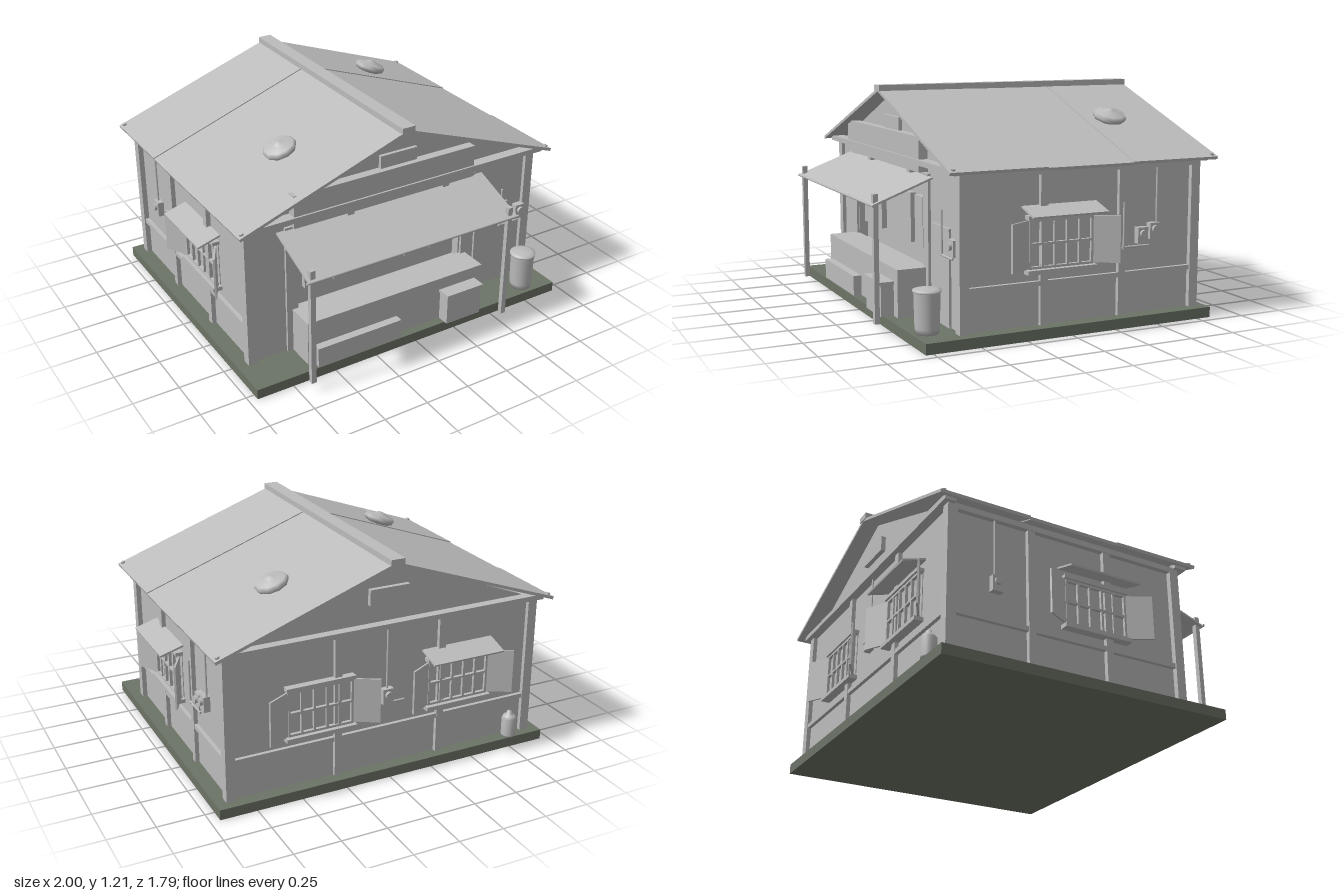
import * as THREE from 'three';

const mat = (name, color) => {
  const m = new THREE.MeshStandardMaterial({ color });
  m.name = name;
  return m;
};

export function createModel() {
  const root = new THREE.Group();
  root.name = 'house';
  const grey = mat('plain grey', 0xbcbcbc);
  const stone = mat('foundation green grey', 0x6c7466);

  const add = (parent, name, geo, material = grey) => {
    const m = new THREE.Mesh(geo, material);
    m.name = name;
    parent.add(m);
    return m;
  };
  // Box given by its min and max on each axis
  const box = (parent, name, x0, x1, y0, y1, z0, z1, material = grey) => {
    const m = add(parent, name, new THREE.BoxGeometry(x1 - x0, y1 - y0, z1 - z0), material);
    m.position.set((x0 + x1) / 2, (y0 + y1) / 2, (z0 + z1) / 2);
    return m;
  };
  // Round bar between two points
  const rod = (parent, name, a, b, r, sides = 8) => {
    const p = new THREE.Vector3(...a), q = new THREE.Vector3(...b);
    const m = add(parent, name, new THREE.CylinderGeometry(r, r, p.distanceTo(q), sides));
    m.position.copy(p).lerp(q, 0.5);
    m.quaternion.setFromUnitVectors(new THREE.Vector3(0, 1, 0), q.sub(p).normalize());
    return m;
  };
  const lathe = (parent, name, points, sides) =>
    add(parent, name, new THREE.LatheGeometry(points.map(p => new THREE.Vector2(...p)), sides));
  const extrude = (name, shape, depth, z) => {
    const m = add(root, name, new THREE.ExtrudeGeometry(shape, { depth, bevelEnabled: false }));
    m.position.z = z;
    return m;
  };

  // Foundation and wall core
  box(root, 'foundation', -0.955, 0.95, 0, 0.055, -0.83, 0.79, stone);
  box(root, 'walls', -0.87, 0.87, 0.055, 0.84, -0.76, 0.52);

  // Front wall with the serving opening
  const front = new THREE.Shape([[-0.87, 0.055], [0.87, 0.055], [0.87, 0.84], [-0.87, 0.84]]
    .map(p => new THREE.Vector2(...p)));
  front.holes.push(new THREE.Path([[-0.595, 0.28], [-0.595, 0.68], [0.42, 0.68], [0.42, 0.28]]
    .map(p => new THREE.Vector2(...p))));
  extrude('frontWall', front, 0.05, 0.52);

  // Gable prism under the roof
  const gable = new THREE.Shape([[-0.84, 0.84], [0.84, 0.84], [0.8, 0.866], [0, 1.178], [-0.8, 0.866]]
    .map(p => new THREE.Vector2(...p)));
  extrude('gable', gable, 1.33, -0.76);

  // Corner posts, wall posts and rails
  for (const x of [-0.873, 0.87]) {
    for (const z of [-0.757, 0.565]) box(root, 'cornerPost', x - 0.026, x + 0.026, 0.055, 0.84, z - 0.026, z + 0.026);
    for (const z of [-0.315, 0.133]) box(root, 'sidePost', x - 0.022, x + 0.022, 0.055, 0.84, z - 0.02, z + 0.02);
    box(root, 'sideRail', x - 0.02, x + 0.02, 0.255, 0.28, -0.75, 0.56);
    box(root, 'sideTopRail', x - 0.026, x + 0.026, 0.81, 0.84, -0.78, 0.59);
  }
  for (const x of [-0.32, 0.28]) box(root, 'backPost', x - 0.02, x + 0.02, 0.055, 0.84, -0.782, -0.75);
  box(root, 'backRail', -0.87, 0.87, 0.255, 0.28, -0.78, -0.75);
  box(root, 'frontBeam', -0.92, 0.92, 0.832, 0.86, 0.56, 0.63);
  box(root, 'backBeam', -0.92, 0.92, 0.832, 0.86, -0.81, -0.75);
  for (const x of [-0.637, 0.46]) box(root, 'frontPost', x - 0.03, x + 0.035, 0.055, 0.79, 0.56, 0.585);

  // Roof: three sheets on each slope
  const slope = Math.atan2(0.34, 0.955), len = Math.hypot(0.34, 0.955);
  const seams = { '-1': [-0.85, -0.355, 0.165, 0.665], '1': [-0.85, -0.34, 0.145, 0.665] };
  for (const side of [-1, 1]) {
    const roof = new THREE.Group();
    roof.name = side > 0 ? 'roofLeft' : 'roofRight';
    roof.position.set(0, 1.192, 0);
    roof.rotation.z = -side * slope;
    root.add(roof);
    const x = d => [Math.min(0, side * d), Math.max(0, side * d)];
    seams[side].slice(0, 3).forEach((z, i) => {
      const lift = i === 1 ? -0.005 : 0;
      box(roof, 'roofSheet', ...x(len), -0.014 + lift, 0.002 + lift, z, seams[side][i + 1]);
    });
    // Bolts near the eave corners
    for (const z of [-0.825, 0.64]) {
      const b = add(roof, 'bolt', new THREE.CylinderGeometry(0.012, 0.012, 0.012, 8));
      b.position.set(side * (len - 0.025), 0.006, z);
    }
    // Roof ventilator with a shallow cone cap
    const vent = lathe(roof, 'roofVent',
      [[0, 0], [0.06, 0], [0.085, 0.012], [0.092, 0.03], [0.08, 0.046], [0.035, 0.052], [0.025, 0.062], [0, 0.068]], 10);
    vent.position.set(side * 0.52, 0.002, side > 0 ? -0.47 : 0.235);
  }
  box(root, 'ridgeCap', -0.04, 0.037, 1.18, 1.212, -0.855, 0.67);

  // Gable vents and long sign board
  box(root, 'gableVentFront', -0.113, 0.11, 0.96, 1.045, 0.56, 0.59);
  box(root, 'gableVentBack', -0.113, 0.11, 0.96, 1.045, -0.785, -0.75);
  box(root, 'signBoard', -0.635, 0.46, 0.795, 0.975, 0.57, 0.62);
  for (const x of [-0.3, 0.29]) box(root, 'signBracket', x - 0.02, x + 0.02, 0.775, 0.797, 0.57, 0.61);

  // Front awning on two poles
  const aw = box(root, 'awning', -0.715, 0.547, -0.005, 0.005, -0.17, 0.17);
  aw.position.set(-0.084, 0.715, 0.738);
  aw.rotation.x = Math.atan2(0.12, 0.32);
  rod(root, 'awningBar', [-0.725, 0.656, 0.896], [0.555, 0.656, 0.896], 0.007);
  for (const x of [-0.685, 0.51]) box(root, 'awningPole', x - 0.014, x + 0.014, 0.055, 0.71, 0.86, 0.886);

  // Hanging boards inside the opening
  for (const x of [-0.49, -0.315, 0.128, 0.295]) box(root, 'hangingBoard', x - 0.055, x + 0.055, 0.385, 0.65, 0.525, 0.555);

  // Counter, bench, chest and door
  box(root, 'counter', -0.635, 0.46, 0.055, 0.305, 0.57, 0.74);
  box(root, 'bench', -0.6, -0.095, 0.055, 0.165, 0.72, 0.785);
  box(root, 'chest', 0.185, 0.405, 0.055, 0.222, 0.7, 0.81);
  box(root, 'chestLid', 0.178, 0.412, 0.222, 0.237, 0.69, 0.82);
  box(root, 'door', 0.523, 0.748, 0.055, 0.55, 0.56, 0.582);

  // Barrel in front and gas bottle behind
  const barrel = lathe(root, 'barrel',
    [[0, 0], [0.058, 0], [0.062, 0.03], [0.066, 0.205], [0.071, 0.205], [0.071, 0.216], [0.05, 0.222], [0, 0.228]], 20);
  barrel.position.set(0.775, 0.055, 0.71);
  const bottle = lathe(root, 'gasBottle',
    [[0, 0], [0.038, 0], [0.04, 0.01], [0.04, 0.105], [0.03, 0.122], [0.014, 0.126], [0.014, 0.145], [0, 0.148]], 16);
  bottle.position.set(-0.76, 0.055, -0.797);

  // A wall frame: local +z points out of the wall
  const wallFrame = (name, x, z, turn) => {
    const g = new THREE.Group();
    g.name = name;
    g.position.set(x, 0, z);
    g.rotation.y = turn;
    root.add(g);
    return g;
  };

  // Barred window with open shutters, sill and optional awning
  const addWindow = (x, z, turn, hood) => {
    const g = wallFrame('window', x, z, turn);
    box(g, 'pane', -0.18, 0.18, 0.345, 0.59, -0.01, 0.004);
    for (let i = 0; i <= 5; i++) {
      const bx = -0.175 + i * 0.07;
      box(g, 'verticalBar', bx - 0.006, bx + 0.006, 0.345, 0.59, 0.015, 0.03);
    }
    for (const y of [0.35, 0.468, 0.585]) box(g, 'crossBar', -0.18, 0.18, y - 0.006, y + 0.006, 0.012, 0.03);
    box(g, 'sill', -0.195, 0.195, 0.32, 0.342, 0, 0.05);
    box(g, 'lintel', -0.19, 0.19, 0.592, 0.612, 0, 0.04);
    for (const s of [-1, 1]) {
      const hinge = new THREE.Group();
      hinge.position.set(s * 0.18, 0, 0.02);
      hinge.rotation.y = -s * 0.5;
      g.add(hinge);
      box(hinge, 'shutter', s > 0 ? 0 : -0.142, s > 0 ? 0.142 : 0, 0.347, 0.588, -0.005, 0.005);
    }
    if (hood) {
      const h = box(g, 'windowAwning', -0.21, 0.21, -0.005, 0.005, -0.066, 0.066);
      h.position.set(0, 0.636, 0.066);
      h.rotation.x = 0.29;
    }
  };
  addWindow(0.87, 0.04, Math.PI / 2, true);
  addWindow(-0.87, 0.057, -Math.PI / 2, true);
  addWindow(-0.42, -0.76, Math.PI, true);
  addWindow(0.38, -0.76, Math.PI, false);

  // Meter box with a round dial
  const meter = (g, x, y) => {
    box(g, 'meterBox', x - 0.03, x + 0.03, y - 0.042, y + 0.042, 0, 0.035);
    rod(g, 'meterDial', [x, y + 0.01, 0.03], [x, y + 0.01, 0.05], 0.02, 12);
  };
  const pipe = (g, a, b) => rod(g, 'pipe', a, b, 0.006);

  const sideA = wallFrame('leftWallMeters', 0.87, 0, Math.PI / 2);
  meter(sideA, 0.433, 0.463);
  meter(sideA, 0.505, 0.482);
  pipe(sideA, [0.525, 0.52, 0.015], [0.525, 0.85, 0.015]);
  pipe(sideA, [0.31, 0.41, 0.03], [0.47, 0.41, 0.03]);
  pipe(sideA, [0.32, 0.4, 0.03], [0.32, 0.64, 0.03]);

  const sideB = wallFrame('rightWallMeter', -0.87, 0, -Math.PI / 2);
  meter(sideB, -0.51, 0.46);
  pipe(sideB, [-0.52, 0.49, 0.015], [-0.52, 0.84, 0.015]);

  const back = wallFrame('backWallMeter', 0, -0.76, Math.PI);
  meter(back, 0, 0.45);
  pipe(back, [0, 0.48, 0.015], [0, 0.84, 0.015]);
  pipe(back, [0, 0.41, 0.02], [0.1, 0.41, 0.02]);

  const face = wallFrame('frontWallMeter', 0, 0.57, 0);
  meter(face, 0.82, 0.47);
  pipe(face, [0.69, 0.41, 0.025], [0.69, 0.64, 0.025]);
  pipe(face, [0.68, 0.415, 0.025], [0.82, 0.415, 0.025]);

  return root;
}
